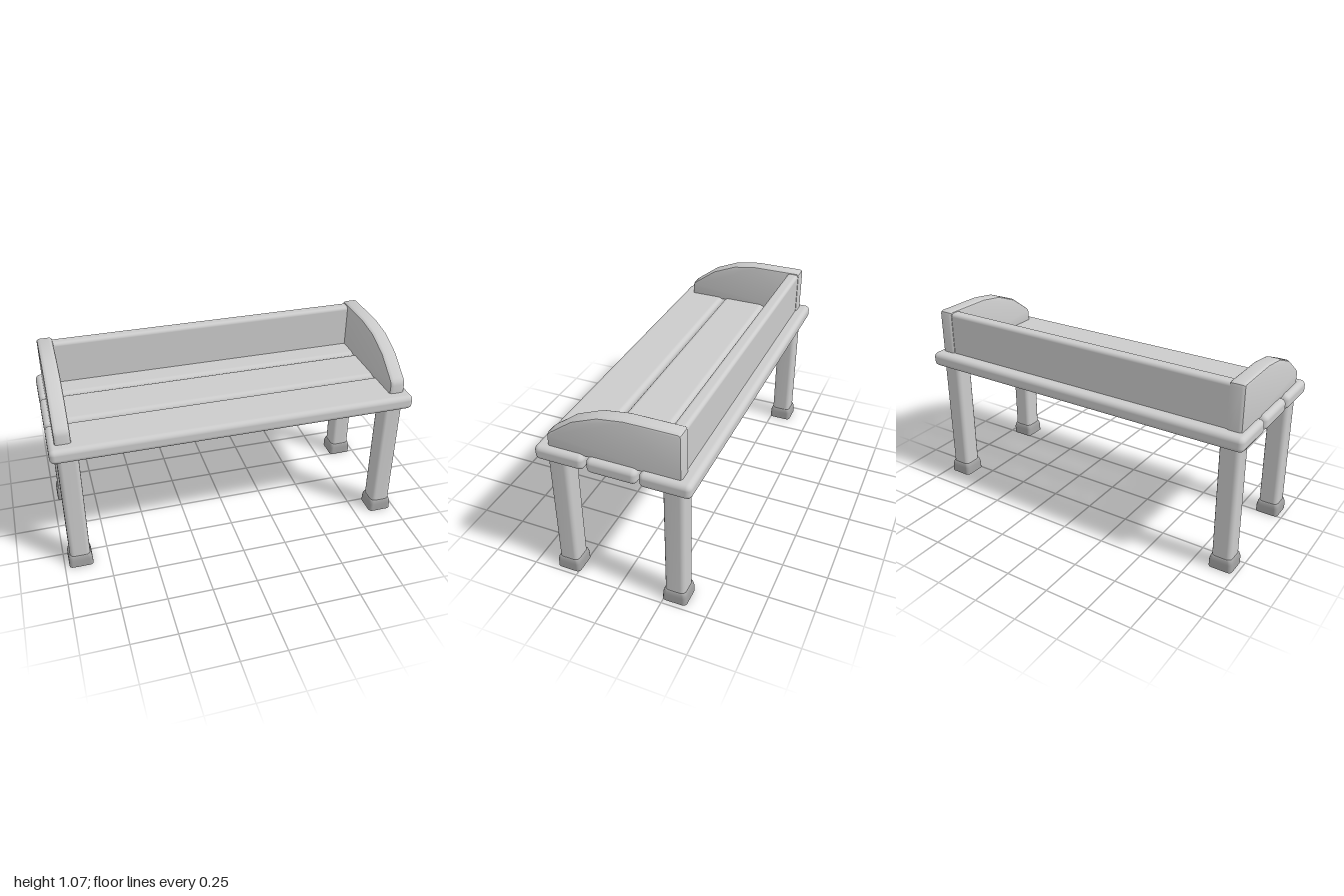
import * as THREE from 'three';
import { RoundedBoxGeometry } from 'three/addons/geometries/RoundedBoxGeometry.js';
import { toCreasedNormals } from 'three/addons/utils/BufferGeometryUtils.js';

// Stack of rounded-square rings, each [y, half width, corner radius]
function squareLoft(rings, arc = 4) {
  const positions = [], index = [];
  const count = 4 * (arc + 1);
  for (const [y, half, r] of rings) {
    for (let c = 0; c < 4; c++) {
      const mid = Math.PI / 4 + c * Math.PI / 2;
      const cx = Math.sign(Math.cos(mid)) * (half - r);
      const cz = Math.sign(Math.sin(mid)) * (half - r);
      for (let i = 0; i <= arc; i++) {
        const a = (c + i / arc) * Math.PI / 2;
        positions.push(cx + r * Math.cos(a), y, cz + r * Math.sin(a));
      }
    }
  }
  for (let k = 0; k < rings.length - 1; k++) {
    for (let i = 0; i < count; i++) {
      const a = k * count + i, b = k * count + (i + 1) % count;
      index.push(a, a + count, b, b, a + count, b + count);
    }
  }
  const g = new THREE.BufferGeometry();
  g.setAttribute('position', new THREE.Float32BufferAttribute(positions, 3));
  g.setIndex(index);
  g.computeVertexNormals();
  return g;
}

export function createModel() {
  const bench = new THREE.Group();
  bench.name = 'bench';
  const paleGrey = new THREE.MeshStandardMaterial({ color: 0xcccccc });
  paleGrey.name = 'paleGrey';
  const footGrey = new THREE.MeshStandardMaterial({ color: 0xa2a2a2, side: THREE.DoubleSide });
  footGrey.name = 'footGrey';

  const add = (name, geometry, material, x, y, z) => {
    const mesh = new THREE.Mesh(geometry, material);
    mesh.name = name;
    mesh.position.set(x, y, z);
    bench.add(mesh);
    return mesh;
  };

  // Three seat planks
  const plank = new RoundedBoxGeometry(2, 0.082, 0.27, 3, 0.028);
  [['frontPlank', 0.281], ['middlePlank', -0.002], ['backPlank', -0.281]].forEach(
    ([name, z]) => add(name, plank, paleGrey, 0, 0.775, z));

  // Low back board between the side panels
  add('backBoard', new RoundedBoxGeometry(1.82, 0.27, 0.07, 3, 0.02), paleGrey, 0, 0.925, -0.315);

  // Side panels: curved profile in z and y, extruded across x with soft edges
  const bevel = 0.02;
  const profile = [
    [-0.355, 0.80], [-0.355, 0.865], [-0.35, 0.885], [-0.335, 0.9], [-0.21, 0.993],
    [-0.07, 1.05], [0.07, 1.07], [0.343, 1.07], [0.354, 1.063], [0.358, 1.05], [0.358, 0.80],
  ];
  const shape = new THREE.Shape(profile.map(([u, v]) => new THREE.Vector2(u, v)));
  const panel = toCreasedNormals(new THREE.ExtrudeGeometry(shape, {
    depth: 0.085 - 2 * bevel, bevelThickness: bevel, bevelSize: 0.012,
    bevelOffset: -0.012, bevelSegments: 3,
  }).translate(0, 0, bevel - 0.0425).rotateY(Math.PI / 2), 0.6);

  // Square legs with rounded corners, set in open-bottomed feet
  const leg = squareLoft([[0.068, 0.0565, 0.025], [0.75, 0.0565, 0.025]]);
  const foot = squareLoft([
    [0, 0.067, 0.02], [0.045, 0.066, 0.02], [0.062, 0.062, 0.02],
    [0.071, 0.058, 0.02], [0.073, 0.052, 0.02], [0.073, 0.001, 0.0005],
  ]);

  for (const [side, s] of [['left', 1], ['right', -1]]) {
    add(side + 'SidePanel', panel, paleGrey, s * 0.9225, 0, 0);
    for (const [end, z] of [['Front', 0.31], ['Back', -0.311]]) {
      add(side + end + 'Leg', leg, paleGrey, s * 0.908, 0, z);
      add(side + end + 'Foot', foot, footGrey, s * 0.908, 0, z);
    }
  }
  return bench;
}
